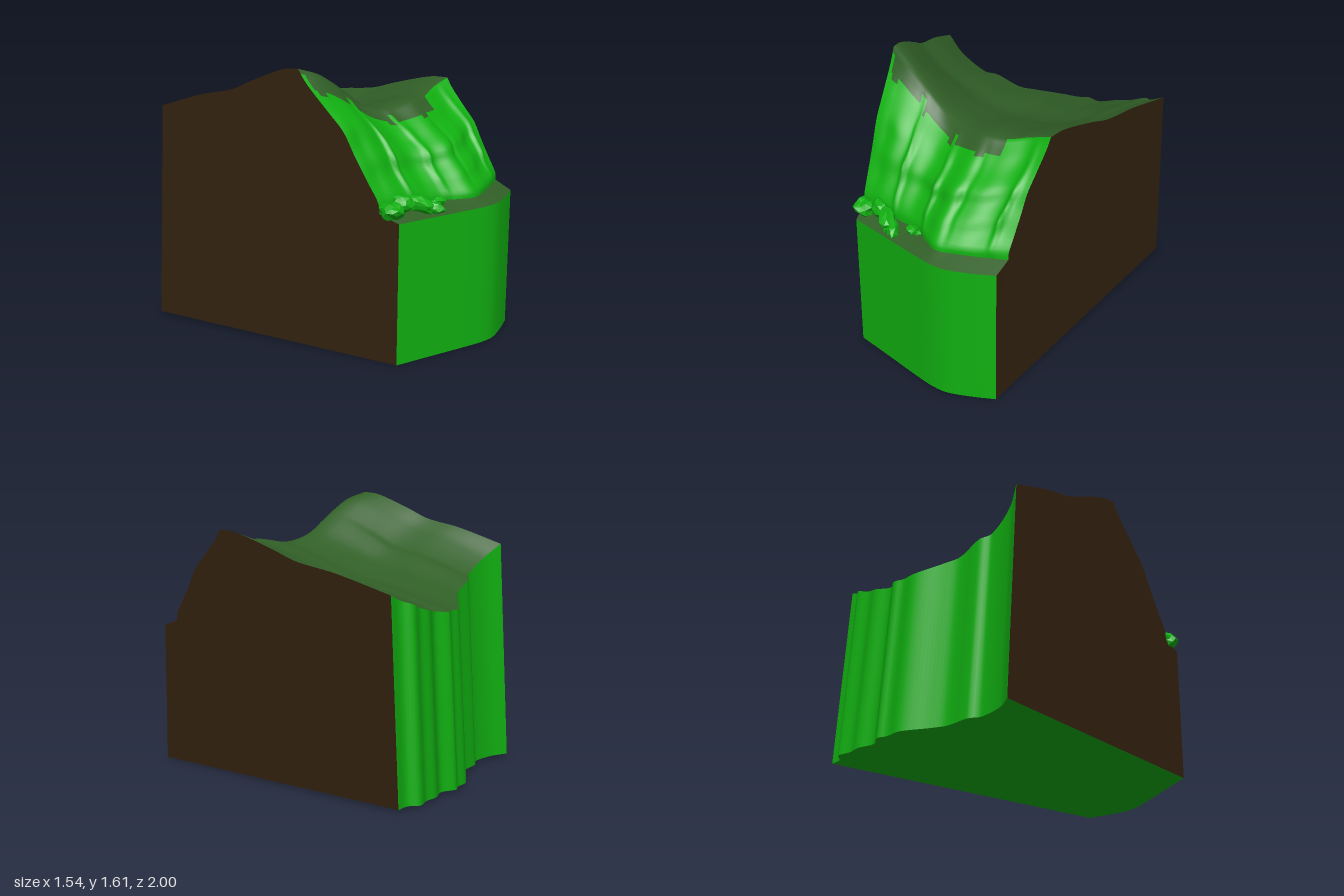
import * as THREE from 'three';

const COLS = 88;
const cliffGreen = new THREE.MeshStandardMaterial({ color: 0x11b011 });
cliffGreen.name = 'cliff green';
const grass = new THREE.MeshStandardMaterial({ color: 0x315f27 });
grass.name = 'dull grass';
const soil = new THREE.MeshStandardMaterial({ color: 0x33220f });
soil.name = 'dark soil';

const lerp = THREE.MathUtils.lerp;

// Smooth interpolation of component k through points sorted by their first number
function sample(pts, x, k) {
  let i = 0;
  while (i < pts.length - 2 && x > pts[i + 1][0]) i++;
  const slope = (a, b) => (pts[b][k] - pts[a][k]) / (pts[b][0] - pts[a][0]);
  const last = pts.length - 1;
  const m0 = slope(Math.max(i - 1, 0), i + 1), m1 = slope(i, Math.min(i + 2, last));
  const h = pts[i + 1][0] - pts[i][0], t = (x - pts[i][0]) / h, t2 = t * t, t3 = t2 * t;
  return (2 * t3 - 3 * t2 + 1) * pts[i][k] + (t3 - 2 * t2 + t) * h * m0
    + (3 * t2 - 2 * t3) * pts[i + 1][k] + (t3 - t2) * h * m1;
}

// One row of points running from the left wall to the right wall; input is [x, z, y]
function makeRow(pts) {
  const x0 = pts[0][0], x1 = pts[pts.length - 1][0];
  return Array.from({ length: COLS + 1 }, (_, j) => {
    const x = lerp(x0, x1, j / COLS);
    return new THREE.Vector3(x, sample(pts, x, 2), sample(pts, x, 1));
  });
}

// Smooth sheet over rows, with an optional material index per cell
function sheet(name, rows, materials, pick = () => 0) {
  const lists = materials.map(() => []);
  const w = COLS + 1;
  for (let i = 0; i < rows.length - 1; i++) {
    for (let j = 0; j < COLS; j++) {
      const a = i * w + j, d = a + w;
      lists[pick(i, j)].push(a, a + 1, d + 1, a, d + 1, d);
    }
  }
  const geo = new THREE.BufferGeometry().setFromPoints(rows.flat());
  geo.setIndex(lists.flat());
  let start = 0;
  lists.forEach((l, m) => { geo.addGroup(start, l.length, m); start += l.length; });
  geo.computeVertexNormals();
  const mesh = new THREE.Mesh(geo, materials.length > 1 ? materials : materials[0]);
  mesh.name = name;
  return mesh;
}

// Flat cut face through the ground; dir is -1 for the -x side, +1 for the +x side
function cutFace(name, points, dir) {
  const flat = points.map(p => new THREE.Vector2(p.z, p.y));
  const index = [];
  for (const [a, b, c] of THREE.ShapeUtils.triangulateShape(flat, [])) {
    const area = THREE.ShapeUtils.area([flat[a], flat[b], flat[c]]);
    if (area * dir < 0) index.push(a, b, c); else index.push(a, c, b);
  }
  const geo = new THREE.BufferGeometry().setFromPoints(points);
  geo.setIndex(index);
  geo.computeVertexNormals();
  const mesh = new THREE.Mesh(geo, soil);
  mesh.name = name;
  return mesh;
}

// Faceted boulder, roughened by a rule on the vertex position
function boulder(x, y, z, sx, sy, sz, turn, tilt) {
  const geo = new THREE.IcosahedronGeometry(1, 1);
  const p = geo.attributes.position, v = new THREE.Vector3();
  for (let i = 0; i < p.count; i++) {
    v.fromBufferAttribute(p, i);
    const r = 0.94 + 0.16 * Math.sin(v.x * 5.1 + v.y * 7.3 + v.z * 3.7 + x * 40);
    p.setXYZ(i, v.x * r * sx, v.y * r * sy, v.z * r * sz);
  }
  geo.computeVertexNormals();
  const mesh = new THREE.Mesh(geo, cliffGreen);
  mesh.position.set(x, y, z);
  mesh.rotation.set(0, turn, tilt);
  mesh.name = 'boulder';
  return mesh;
}

export function createModel() {
  const group = new THREE.Group();
  group.name = 'terrainBlock';

  // Guide rows, each point [x, z, y]
  const lip = makeRow([[-0.19, 0.93, 0.82], [0.1, 0.965, 0.82], [0.3, 0.99, 0.82], [0.42, 1, 0.82],
    [0.52, 0.99, 0.82], [0.65, 0.93, 0.82], [0.77, 0.86, 0.82]]);
  const foot = makeRow([[-0.233, 0.82, 0.86], [0, 0.83, 0.86], [0.2, 0.84, 0.86], [0.3, 0.89, 0.86],
    [0.4, 0.925, 0.86], [0.5, 0.89, 0.86], [0.62, 0.83, 0.86], [0.76, 0.75, 0.86]]);
  const ridge = makeRow([[-0.416, 0.35, 1.61], [-0.3, 0.38, 1.57], [-0.2, 0.39, 1.51], [-0.1, 0.395, 1.44],
    [0, 0.4, 1.37], [0.1, 0.42, 1.33], [0.2, 0.44, 1.32], [0.35, 0.45, 1.345], [0.48, 0.42, 1.35],
    [0.6, 0.37, 1.38], [0.726, 0.36, 1.42]]);
  const backTop = makeRow([[-0.746, -0.5, 1.31], [-0.62, -0.475, 1.23], [-0.45, -0.5, 1.14], [-0.4, -0.55, 1.12],
    [-0.25, -0.6, 1.06], [-0.18, -0.66, 1.04], [-0.05, -0.79, 1], [0.05, -0.82, 1], [0.1, -0.855, 1],
    [0.2, -0.835, 1.01], [0.3, -0.89, 1.03], [0.38, -0.9, 1.05], [0.47, -0.94, 1.08], [0.53, -0.905, 1.1],
    [0.614, -0.92, 1.135]]);
  const frontBase = lip.map(p => new THREE.Vector3(p.x, 0, p.z));
  const backBase = backTop.map((p, j) =>
    new THREE.Vector3(p.x - lerp(0.022, 0.005, j / COLS), 0.015, p.z - 0.057));

  // Cliff face: drop fraction against outward fraction, with ribs and shelves
  const cliffCurve = [[0, 0], [0.1, 0.1], [0.3, 0.38], [0.42, 0.55], [0.6, 0.7], [0.78, 0.86], [0.92, 0.985], [1, 1]];
  const ribs = [[0.26, 0.028, 0.016], [0.5, 0.024, 0.018], [0.69, -0.016, 0.02], [0.93, 0.03, 0.016]];
  const STEPS = 28;
  const cliffRows = [];
  for (let i = 0; i <= STEPS; i++) {
    const t = 1 - i / STEPS, out = sample(cliffCurve, t, 1);
    cliffRows.push(ridge.map((r, j) => {
      const u = j / COLS, f = foot[j];
      let bump = 0.008 * Math.sin(t * 22 + u * 7) + 0.005 * Math.sin(u * 40 + t * 3);
      for (const [c, amp, s] of ribs) bump += amp * Math.exp(-(((u - c - 0.015 * Math.sin(t * 6)) / s) ** 2));
      bump *= Math.sin(Math.PI * t) * Math.min(1, 12 * u, 12 * (1 - u));
      return new THREE.Vector3(lerp(r.x, f.x, out), lerp(r.y, f.y, t), lerp(r.z, f.z, out) + bump);
    }));
  }

  // Grass slope falling from the ridge to the back edge
  const slopeCurve = [[0, 0], [0.1, 0.035], [0.33, 0.32], [0.47, 0.52], [0.7, 0.69], [1, 1]];
  const slopeRows = [];
  for (let i = 1; i <= 24; i++) {
    const s = i / 24, fall = sample(slopeCurve, s, 1);
    slopeRows.push(ridge.map((r, j) => {
      const b = backTop[j];
      return new THREE.Vector3(lerp(r.x, b.x, s), lerp(r.y, b.y, fall), lerp(r.z, b.z, s));
    }));
  }

  // Grass hangs over the top of the cliff except at the right end and on the ribs
  const isGrass = (i, j) => {
    if (i >= STEPS) return 1;
    const u = (j + 0.5) / COLS, t = 1 - (i + 0.5) / STEPS;
    if (u > 0.785) return 0;
    let hang = 0.145 + 0.02 * Math.sin(u * 30);
    if (u < 0.025) hang = 0.02;
    if (Math.abs(u - 0.255) < 0.02 || Math.abs(u - 0.5) < 0.008) hang = 0.07;
    return t < hang ? 1 : 0;
  };
  group.add(sheet('cliffAndSlope', [...cliffRows, ...slopeRows], [cliffGreen, grass], isGrass));
  group.add(sheet('frontWall', [frontBase, lip], [cliffGreen]));
  group.add(sheet('ledge', [lip, foot], [grass]));
  group.add(sheet('backWall', [backTop, backBase], [cliffGreen]));
  group.add(sheet('underside', [backBase, frontBase], [cliffGreen]));

  // Cut soil walls on both sides
  const outline = [frontBase, lip, ...cliffRows, ...slopeRows, backBase];
  group.add(cutFace('soilWallRight', outline.map(r => r[0]), -1));
  group.add(cutFace('soilWallLeft', outline.map(r => r[COLS]), 1));

  // Boulders lying on the ledge
  const boulders = new THREE.Group();
  boulders.name = 'boulders';
  [[-0.185, 0.875, 0.865, 0.068, 0.052, 0.07, 0.3, -0.1],
    [-0.08, 0.9, 0.85, 0.075, 0.05, 0.045, -0.5, -0.15],
    [0, 0.885, 0.88, 0.1, 0.046, 0.045, -0.8, -0.3],
    [0.085, 0.86, 0.92, 0.065, 0.036, 0.035, -0.9, -0.2],
    [0.17, 0.862, 0.86, 0.045, 0.028, 0.035, -0.6, 0.2],
    [0.215, 0.855, 0.85, 0.028, 0.018, 0.025, 0.4, 0]].forEach(b => boulders.add(boulder(...b)));
  group.add(boulders);
  return group;
}
